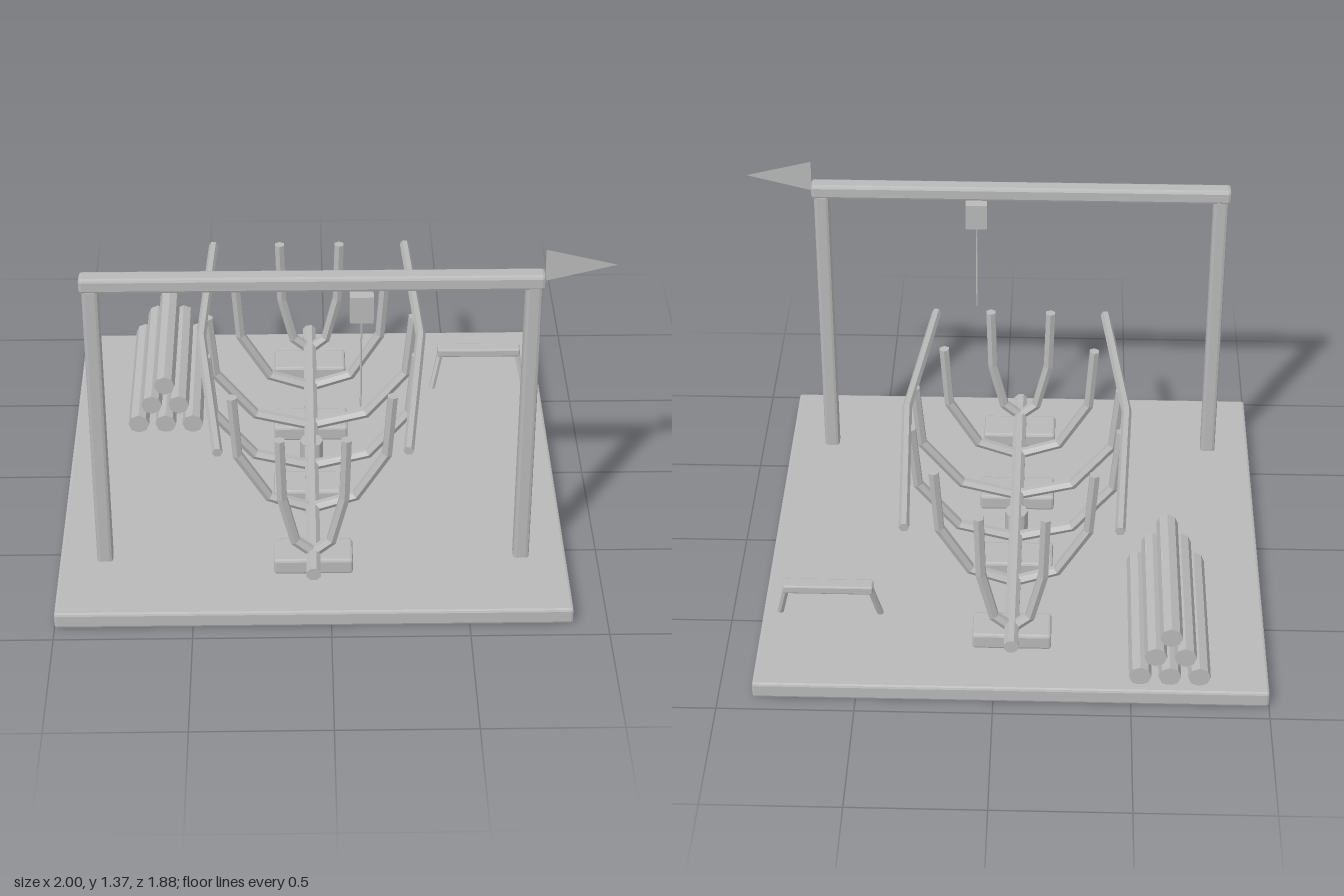
import * as THREE from 'three';
import { RoundedBoxGeometry } from 'three/addons/geometries/RoundedBoxGeometry.js';

const CX = -0.0625; // centre line of the boat and its platform
const V = (x, y, z) => new THREE.Vector3(x, y, z);

// Capped tube that follows a polyline, mitred at each corner
function sweep(points, radius, sides, side, turn = 0) {
  const last = points.length - 1;
  const geo = new THREE.CylinderGeometry(radius, radius, 1, sides, last);
  geo.rotateY(turn);
  const frames = points.map((p, i) => {
    const a = i > 0 ? p.clone().sub(points[i - 1]).normalize() : V(0, 0, 0);
    const b = i < last ? points[i + 1].clone().sub(p).normalize() : V(0, 0, 0);
    const t = a.add(b).normalize();
    const n = t.clone().cross(side).normalize();
    return { n, b: n.clone().cross(t) };
  });
  const pos = geo.attributes.position;
  for (let i = 0; i < pos.count; i++) {
    const k = Math.round((pos.getY(i) + 0.5) * last);
    const p = points[k].clone()
      .addScaledVector(frames[k].n, pos.getX(i))
      .addScaledVector(frames[k].b, pos.getZ(i));
    pos.setXYZ(i, p.x, p.y, p.z);
  }
  geo.computeVertexNormals();
  return geo;
}

export function createModel() {
  const model = new THREE.Group();
  model.name = 'boatyard';
  const wood = new THREE.MeshStandardMaterial({ color: 0xb8b8b8, flatShading: true });
  wood.name = 'grey wood';
  const cloth = new THREE.MeshStandardMaterial({ color: 0xb8b8b8, side: THREE.DoubleSide });
  cloth.name = 'grey cloth';

  const add = (name, geo, x = 0, y = 0, z = 0, parent = model, mat = wood) => {
    const mesh = new THREE.Mesh(geo, mat);
    mesh.name = name;
    mesh.position.set(x, y, z);
    parent.add(mesh);
    return mesh;
  };
  const group = (name) => {
    const g = new THREE.Group();
    g.name = name;
    model.add(g);
    return g;
  };
  const bevelBox = (w, h, d, r = 0.01) => new RoundedBoxGeometry(w, h, d, 1, r);

  // Platform
  add('platform', bevelBox(1.875, 0.064, 1.875), CX, 0.032, 0);

  // Hoist frame with pulley block, rope and pennant
  const hoist = group('hoistFrame');
  for (const s of [-1, 1])
    add('post', bevelBox(0.058, 1.2, 0.062, 0.012), CX + s * 0.77, 0.64, 0.597, hoist);
  add('crossBeam', bevelBox(1.617, 0.058, 0.066, 0.012), CX, 1.252, 0.597, hoist);
  add('pulleyBlock', new THREE.BoxGeometry(0.083, 0.105, 0.088), 0.109, 1.158, 0.599, hoist);
  add('rope', new THREE.CylinderGeometry(0.004, 0.004, 0.38, 6), 0.109, 0.92, 0.599, hoist);
  const pennant = new THREE.Shape([[0.745, 1.245], [0.995, 1.308], [0.745, 1.37]]
    .map(([x, y]) => new THREE.Vector2(x, y)));
  add('pennant', new THREE.ShapeGeometry(pennant), 0, 0, 0.597, hoist, cloth);

  // Keel on its blocks
  const boat = group('boatFrame');
  for (const z of [-0.643, -0.214, 0.214, 0.643])
    add('keelBlock', bevelBox(0.29, 0.064, 0.14), CX, 0.094, z, boat);
  add('keelStump', new THREE.CylinderGeometry(0.045, 0.045, 0.105, 8), CX, 0.113, 0, boat);
  add('keel', sweep([V(CX, 0.138, 0.812), V(CX, 0.156, -0.812)], 0.028, 8, V(1, 0, 0), Math.PI / 8),
    0, 0, 0, boat);

  // Ribs, widest amidships
  for (const [z, w] of [[0.137, 0.395], [0.412, 0.295], [0.687, 0.12]])
    for (const end of [-1, 1])
      for (const s of [-1, 1]) {
        const path = [[0, 0.145], [0.55, 0.2], [0.94, 0.39], [1, 0.645]]
          .map(([k, y]) => V(CX + s * k * w, y, end * z));
        add('rib', sweep(path, 0.021, 6, V(0, 0, 1)), 0, 0, 0, boat);
      }

  // Gunwales
  for (const s of [-1, 1]) {
    const path = [[0.34, 0.618, 0.722], [0.416, 0.645, 0], [0.385, 0.623, -0.722]]
      .map(([x, y, z]) => V(CX + s * x, y, z));
    add('gunwale', sweep(path, 0.019, 6, V(1, 0, 0)), 0, 0, 0, boat);
  }

  // Log pile
  const pile = group('logPile');
  const logGeo = new THREE.CylinderGeometry(0.041, 0.041, 0.683, 8).rotateX(Math.PI / 2);
  for (let row = 0; row < 3; row++)
    for (let i = 0; i < 3 - row; i++)
      add('log', logGeo, -0.746 + 0.107 * i + 0.0535 * row, 0.101 + 0.09 * row, -0.556, pile);

  // Trestle bench with two splayed legs
  const bench = group('bench');
  add('benchTop', bevelBox(0.335, 0.034, 0.054, 0.006), 0.623, 0.217, -0.556, bench);
  for (const s of [-1, 1]) {
    const leg = [V(0.623 + s * 0.155, 0.21, -0.551), V(0.623 + s * 0.188, 0.062, -0.515)];
    add('benchLeg', sweep(leg, 0.013, 6, V(0, 0, 1)), 0, 0, 0, bench);
  }
  return model;
}
